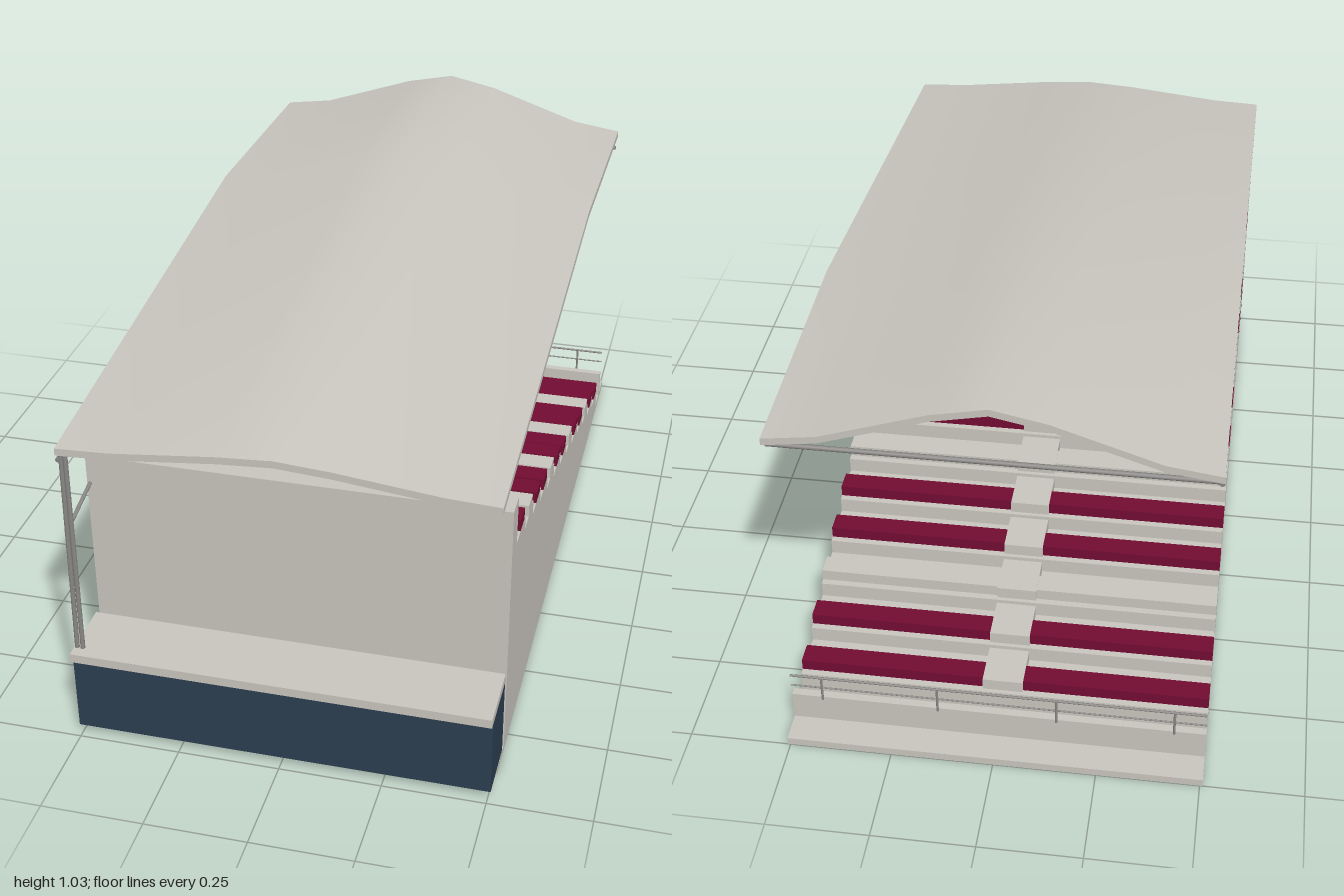
import * as THREE from 'three';
import { toCreasedNormals } from 'three/addons/utils/BufferGeometryUtils.js';

const W = 0.507; // half width of the stand
const ROWS = 13, TREAD = 0.122, RISE = 0.04;

function material(name, color) {
  const m = new THREE.MeshStandardMaterial({ color });
  m.name = name;
  return m;
}

export function createModel() {
  const concrete = material('pale concrete', 0xc8c5be);
  const navy = material('navy cladding', 0x2c3e50);
  const maroon = material('maroon seats', 0x720c32);
  const steel = material('grey steel', 0x8a8885);
  const group = new THREE.Group();

  const add = (name, geometry, mat) => {
    const mesh = new THREE.Mesh(geometry, mat);
    mesh.name = name;
    group.add(mesh);
    return mesh;
  };
  // Box given by its limits on each axis
  const box = (name, mat, x0, x1, y0, y1, z0, z1) => {
    const mesh = add(name, new THREE.BoxGeometry(x1 - x0, y1 - y0, z1 - z0), mat);
    mesh.position.set((x0 + x1) / 2, (y0 + y1) / 2, (z0 + z1) / 2);
  };
  // Round bar between two points
  const bar = (name, a, b, r) => {
    const p = new THREE.Vector3(...a), q = new THREE.Vector3(...b);
    const mesh = add(name, new THREE.CylinderGeometry(r, r, p.distanceTo(q), 8), steel);
    mesh.position.copy(p).add(q).multiplyScalar(0.5);
    mesh.quaternion.setFromUnitVectors(new THREE.Vector3(0, 1, 0), q.sub(p).normalize());
  };

  // Stepped terrace with the high rear wall, drawn in side profile
  const terrace = new THREE.Shape();
  terrace.moveTo(0.81, 0);
  terrace.lineTo(0.81, 0.686);
  terrace.lineTo(0.746, 0.686);
  for (let i = 0; i < ROWS; i++) {
    const y = 0.56 - i * RISE;
    terrace.lineTo(0.746 - i * TREAD, y);
    terrace.lineTo(0.746 - (i + 1) * TREAD, y);
  }
  terrace.lineTo(-0.84, 0);
  terrace.closePath();
  const body = new THREE.ExtrudeGeometry(terrace, { depth: 2 * W, bevelEnabled: false });
  body.rotateY(-Math.PI / 2).translate(W, 0, 0);
  add('terrace', body, concrete);

  // Bench rows (every third one grey) split by the central aisle steps
  for (let i = 0; i < ROWS; i++) {
    const y = 0.56 - i * RISE, z = 0.668 - i * TREAD;
    const mat = i % 3 === 1 ? concrete : maroon;
    box('benchLeft', mat, 0.05, W, y, y + 0.03, z - 0.027, z + 0.027);
    box('benchRight', mat, -W, -0.05, y, y + 0.03, z - 0.027, z + 0.027);
    box('aisleStep', concrete, -0.05, 0.05, y, y + 0.031, z - 0.034, z + 0.077);
  }

  // Ground slab, parapet and handrail
  box('baseSlabFront', concrete, -W, W, 0, 0.02, 0.81, 0.9);
  box('baseSlabBack', concrete, -W, W, 0, 0.02, -1, -0.84);
  box('parapet', concrete, -W, W, 0.02, 0.096, -0.925, -0.905);
  for (const x of [-0.43, -0.145, 0.145, 0.43]) {
    bar('handrailPost', [x, 0.09, -0.927], [x, 0.162, -0.927], 0.003);
  }
  bar('handrail', [-W, 0.162, -0.927], [W, 0.162, -0.927], 0.003);
  bar('handrailMiddle', [-W, 0.13, -0.927], [W, 0.13, -0.927], 0.002);

  // Annex along the rear wall
  box('annexWalls', navy, -W, W, 0.022, 0.225, 0.834, 0.984);
  box('annexRoof', concrete, -W, W, 0.225, 0.248, 0.83, 1);

  // Curved roof: stations of [z, edge height, ridge height] across [x, rise fraction]
  const stations = [[0.968, 0.8, 0.842], [-0.3, 0.928, 1.031], [-0.945, 0.905, 1.035]];
  const arc = [[-0.508, 0], [-0.38, 0.14], [-0.13, 0.79], [0, 1], [0.13, 0.79], [0.38, 0.14], [0.508, 0]];
  const n = arc.length, ring = 2 * n;
  const positions = [], index = [];
  for (const [z, low, high] of stations) {
    for (const [x, f] of arc) positions.push(x, low + f * (high - low), z);
    for (const [x, f] of [...arc].reverse()) positions.push(x, low + f * (high - low) - 0.018, z);
  }
  for (let s = 0; s < stations.length - 1; s++) {
    for (let i = 0; i < ring; i++) {
      const a = s * ring + i, b = s * ring + (i + 1) % ring;
      index.push(a, b, b + ring, a, b + ring, a + ring);
    }
  }
  const last = (stations.length - 1) * ring;
  for (let i = 0; i < n - 1; i++) {
    const c = ring - 1 - i;
    index.push(i, c, c - 1, i, c - 1, i + 1);
    index.push(last + i, last + c - 1, last + c, last + i, last + i + 1, last + c - 1);
  }
  const roof = new THREE.BufferGeometry();
  roof.setAttribute('position', new THREE.Float32BufferAttribute(positions, 3));
  roof.setIndex(index);
  add('roof', toCreasedNormals(roof, 0.45), concrete);

  // Steel frame along the right side: posts, roof beam and brace
  bar('roofPostOuter', [-0.5, 0.248, 0.968], [-0.496, 0.785, 0.962], 0.006);
  bar('roofPostInner', [-0.486, 0.248, 0.968], [-0.486, 0.785, 0.962], 0.006);
  bar('roofBeamFront', [-0.502, 0.77, 0.968], [-0.502, 0.89, -0.3], 0.006);
  bar('roofBeamBack', [-0.502, 0.89, -0.3], [-0.502, 0.864, -0.92], 0.006);
  bar('roofBrace', [-0.5, 0.573, 0.964], [-0.5, 0.885, -0.3], 0.005);
  // Cross beam under the open edge of the roof
  bar('crossBeam', [-W, 0.866, -0.912], [W, 0.866, -0.912], 0.006);

  return group;
}
